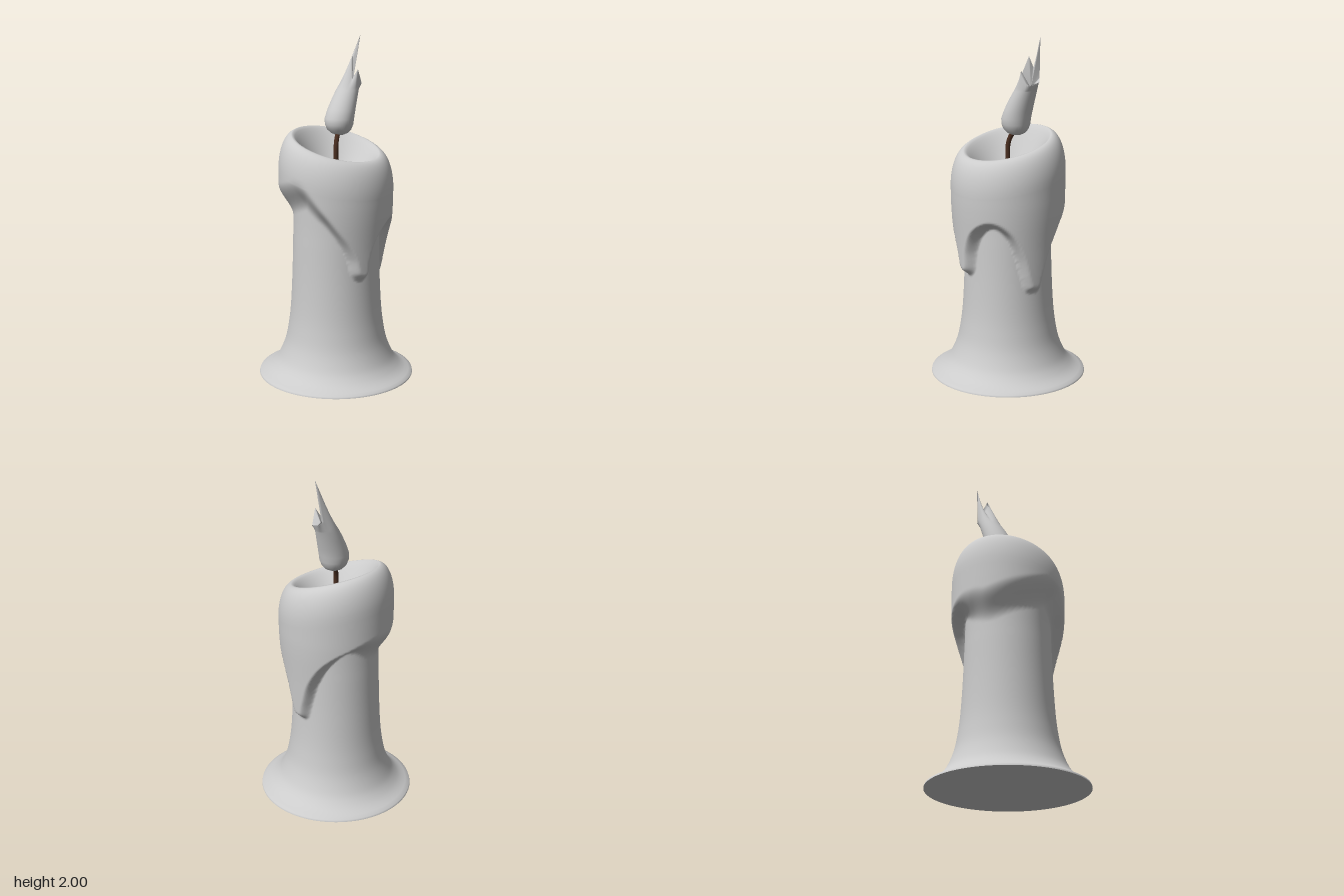
import * as THREE from 'three';

const { lerp, smoothstep, degToRad } = THREE.MathUtils;
const wax = new THREE.MeshStandardMaterial({ color: 0xcccccc, side: THREE.DoubleSide });
const brown = new THREE.MeshStandardMaterial({ color: 0x4a2e20 });

// Smooth dense polyline through [key, value] pairs, and a lookup on it
const spline = (pairs, n) => new THREE.SplineCurve(pairs.map(p => new THREE.Vector2(...p))).getPoints(n);
function lookup(pts, x) {
  let i = 1;
  while (i < pts.length - 1 && pts[i].x < x) i++;
  const a = pts[i - 1], b = pts[i];
  return lerp(a.y, b.y, THREE.MathUtils.clamp((x - a.x) / (b.x - a.x || 1), 0, 1));
}

// Surface of closed loops stacked row by row; point(row, col) returns [x, y, z]
function loopSurface(rows, cols, point) {
  const pos = [], index = [];
  for (let i = 0; i < rows; i++) for (let j = 0; j < cols; j++) {
    pos.push(...point(i, j));
    if (i === rows - 1) continue;
    const a = i * cols + j, b = i * cols + (j + 1) % cols;
    index.push(a, b, b + cols, a, b + cols, a + cols);
  }
  const g = new THREE.BufferGeometry();
  g.setAttribute('position', new THREE.Float32BufferAttribute(pos, 3));
  g.setIndex(index);
  g.computeVertexNormals();
  return g;
}

function named(name, geometry, material = wax) {
  const m = new THREE.Mesh(geometry, material);
  m.name = name;
  return m;
}

// Radius of the bare shaft by height
const shaft = spline([[0, 0.462], [0.012, 0.458], [0.03, 0.42], [0.06, 0.38], [0.11, 0.342], [0.2, 0.305],
  [0.3, 0.284], [0.42, 0.27], [0.6, 0.26], [0.8, 0.254], [1, 0.25], [1.5, 0.25]], 300);
// Radius of the melted layer by height
const melt = spline([[0.5, 0.298], [0.6, 0.306], [0.8, 0.318], [1, 0.332], [1.15, 0.335], [1.5, 0.335]], 100);
// Lower edge of the melted layer by angle (0 = front, 90 = +x), with two drips
const edge = spline([[-90, 1.04], [-75, 0.99], [-60, 0.94], [-45, 0.86], [-34, 0.76], [-28, 0.66], [-16, 0.625],
  [-5, 0.66], [-1, 0.78], [8, 0.88], [24, 0.93], [40, 0.88], [52, 0.76], [60, 0.62], [65, 0.56], [75, 0.545],
  [85, 0.56], [91, 0.66], [100, 0.8], [117, 0.93], [140, 1.0], [165, 0.95], [193, 0.92], [230, 0.98], [270, 1.04]], 384);

// Signed distance from the melted edge, measured on the unrolled shaft
function edgeDistance(deg, y) {
  const scale = degToRad(1) * 0.29;
  let best = Infinity;
  for (const p of edge) {
    let da = Math.abs(p.x - deg);
    if (da > 180) da = 360 - da;
    best = Math.min(best, (da * scale) ** 2 + (p.y - y) ** 2);
  }
  return Math.sqrt(best) * (y > lookup(edge, deg) ? 1 : -1);
}

// Shaft, melted layer, rounded tilted lip and bowl as one skin
function candleGeometry() {
  const cols = 180, side = 110, lip = 14, bowl = 20;
  return loopSurface(side + lip + bowl + 1, cols, (i, j) => {
    const deg = -90 + j * 360 / cols, a = degToRad(deg);
    const rim = 1.39 - 0.075 * Math.cos(a);
    let r, y;
    if (i < side + lip) {
      let outer;
      if (i < side) {
        y = (rim - 0.2) * i / side;
        outer = lookup(melt, y);
      } else {
        const phi = (i - side) / lip * Math.PI / 2;
        y = rim - 0.2 + 0.2 * Math.sin(phi);
        outer = 0.25 + 0.085 * Math.cos(phi);
      }
      // thin crisp edge around the drips, soft swelling at the back
      const w = 0.045 + 0.13 * smoothstep(Math.cos(a - degToRad(225)), -0.1, 0.8);
      r = lerp(lookup(shaft, y), outer, smoothstep(edgeDistance(deg, y), -0.006, w));
    } else {
      const u = (i - side - lip) / bowl;
      r = 0.25 * (1 - u);
      y = lerp(rim, 1.13, Math.sin(u * Math.PI / 2) ** 1.25);
    }
    return [r * Math.sin(a), y, r * Math.cos(a)];
  });
}

// Leaning teardrop whose top splits into four pointed tongues
function flameGeometry() {
  const rings = [[1.43, 0.05, 0], [1.434, 0.05, 0.025], [1.446, 0.049, 0.052], [1.466, 0.047, 0.071], [1.495, 0.046, 0.083],
    [1.53, 0.048, 0.086], [1.58, 0.066, 0.082], [1.64, 0.093, 0.074], [1.69, 0.118, 0.066]];
  // tips and notches in turn, starting at the front
  const crown = [[0.14, 1.81, 0.045], [0.185, 1.725, 0.035], [0.217, 1.745, -0.025], [0.2, 1.77, -0.045],
    [0.23, 2, -0.015], [0.17, 1.82, -0.03], [0.155, 1.89, -0.005], [0.115, 1.76, 0.025]];
  const per = 5, cols = crown.length * per, upper = 6, zc = -0.017;
  const ringPoint = ([y, cx, r], a) => [cx + r * Math.sin(a), y, zc + r * Math.cos(a)];
  return loopSurface(rings.length + upper + 1, cols, (i, j) => {
    const a = j / cols * Math.PI * 2;
    if (i < rings.length) return ringPoint(rings[i], a);
    if (i === rings.length + upper) return [0.16, 1.71, zc];
    const k = Math.floor(j / per), f = (j % per) / per;
    const top = crown[k].map((v, n) => lerp(v, crown[(k + 1) % crown.length][n], f));
    const t = (i - rings.length + 1) / upper;
    return ringPoint(rings[rings.length - 1], a).map((v, n) => lerp(v, top[n], t));
  });
}

export function createModel() {
  const group = new THREE.Group();
  group.name = 'candle';
  group.add(named('waxBody', candleGeometry()));

  const underside = named('underside', new THREE.CircleGeometry(0.462, 90));
  underside.rotation.x = Math.PI / 2;
  group.add(underside);

  const path = new THREE.CatmullRomCurve3([[0, 1.11, 0], [0, 1.25, 0], [0, 1.37, 0], [0.012, 1.415, -0.005], [0.04, 1.46, -0.015]]
    .map(p => new THREE.Vector3(...p)));
  group.add(named('wick', new THREE.TubeGeometry(path, 24, 0.014, 12), brown));

  group.add(named('flame', flameGeometry()));
  return group;
}
